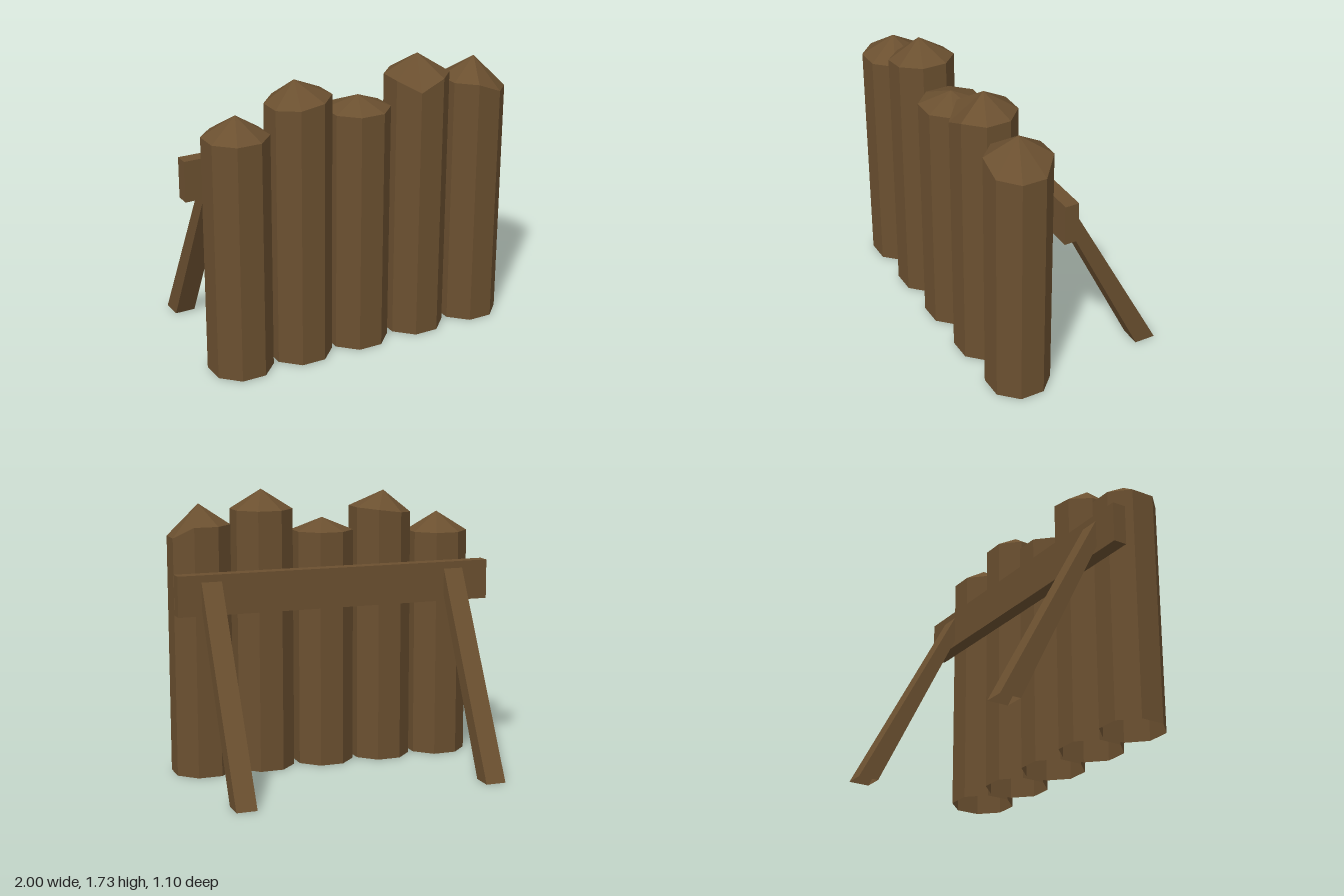
import * as THREE from 'three';

const wood = new THREE.MeshStandardMaterial({ color: 0x6b5030, flatShading: true, side: THREE.DoubleSide });
wood.name = 'brown wood';

// Turns a list of corner triples into a flat-shaded geometry
function facets(points) {
  const geometry = new THREE.BufferGeometry().setFromPoints(points);
  geometry.computeVertexNormals();
  return geometry;
}

// Walls joining two rings of corners, open at both ends
function walls(lower, upper) {
  return lower.flatMap((a, i) => {
    const j = (i + 1) % lower.length;
    return [lower[j], a, upper[i], lower[j], upper[i], upper[j]];
  });
}

// Eight-sided log with an uneven shoulder, a pointed top and an open foot.
// Shoulder heights run right-front, round the front, left, back, to right-back.
function logGeometry(shoulder, apexX, apexY) {
  const radius = 0.193;
  const ring = (height) => shoulder.map((h, i) => {
    const a = (i + 0.5) * Math.PI / 4;
    return new THREE.Vector3(radius * Math.cos(a), height(h), radius * Math.sin(a));
  });
  const foot = ring(() => 0);
  const top = ring((h) => h);
  const apex = new THREE.Vector3(apexX, apexY, 0);
  const tip = top.flatMap((p, i) => [top[(i + 1) % 8], p, apex]);
  return facets([...walls(foot, top), ...tip]);
}

// Leaning square brace, cut level at the ground and upright at the rail
function braceGeometry() {
  const w = 0.0625;
  const ring = (back, front) => [
    new THREE.Vector3(w, back[1], back[0]), new THREE.Vector3(w, front[1], front[0]),
    new THREE.Vector3(-w, front[1], front[0]), new THREE.Vector3(-w, back[1], back[0]),
  ];
  return facets(walls(ring([-0.547, 0], [-0.417, 0]), ring([0.11, 1.22], [0.11, 1.055])));
}

export function createModel() {
  const model = new THREE.Group();
  model.name = 'palisade';
  const add = (name, geometry, x, y, z) => {
    const mesh = new THREE.Mesh(geometry, wood);
    mesh.name = name;
    mesh.position.set(x, y, z);
    model.add(mesh);
  };

  // Row of upright logs
  const level = (h) => Array(8).fill(h);
  const logs = [
    { x: -0.767, shoulder: level(1.43), apex: [0, 1.55] },
    { x: -0.377, shoulder: [1.6, 1.59, 1.57, 1.56, 1.56, 1.57, 1.59, 1.6], apex: [-0.025, 1.697] },
    { x: 0.008, shoulder: level(1.465), apex: [0, 1.542] },
    { x: 0.402, shoulder: [1.61, 1.61, 1.545, 1.607, 1.61, 1.61, 1.61, 1.61], apex: [0, 1.73] },
    { x: 0.797, shoulder: [1.46, 1.47, 1.53, 1.53, 1.53, 1.53, 1.53, 1.46], apex: [0, 1.655] },
  ];
  logs.forEach((log, i) => add(`log${i + 1}`, logGeometry(log.shoulder, ...log.apex), log.x, 0, 0.37));

  // Cross rail behind the logs
  add('rail', new THREE.BoxGeometry(2, 0.245, 0.084), 0, 1.137, 0.15);

  // Rear braces
  add('rightBrace', braceGeometry(), -0.769, 0, 0);
  add('leftBrace', braceGeometry(), 0.793, 0, 0);

  return model;
}
